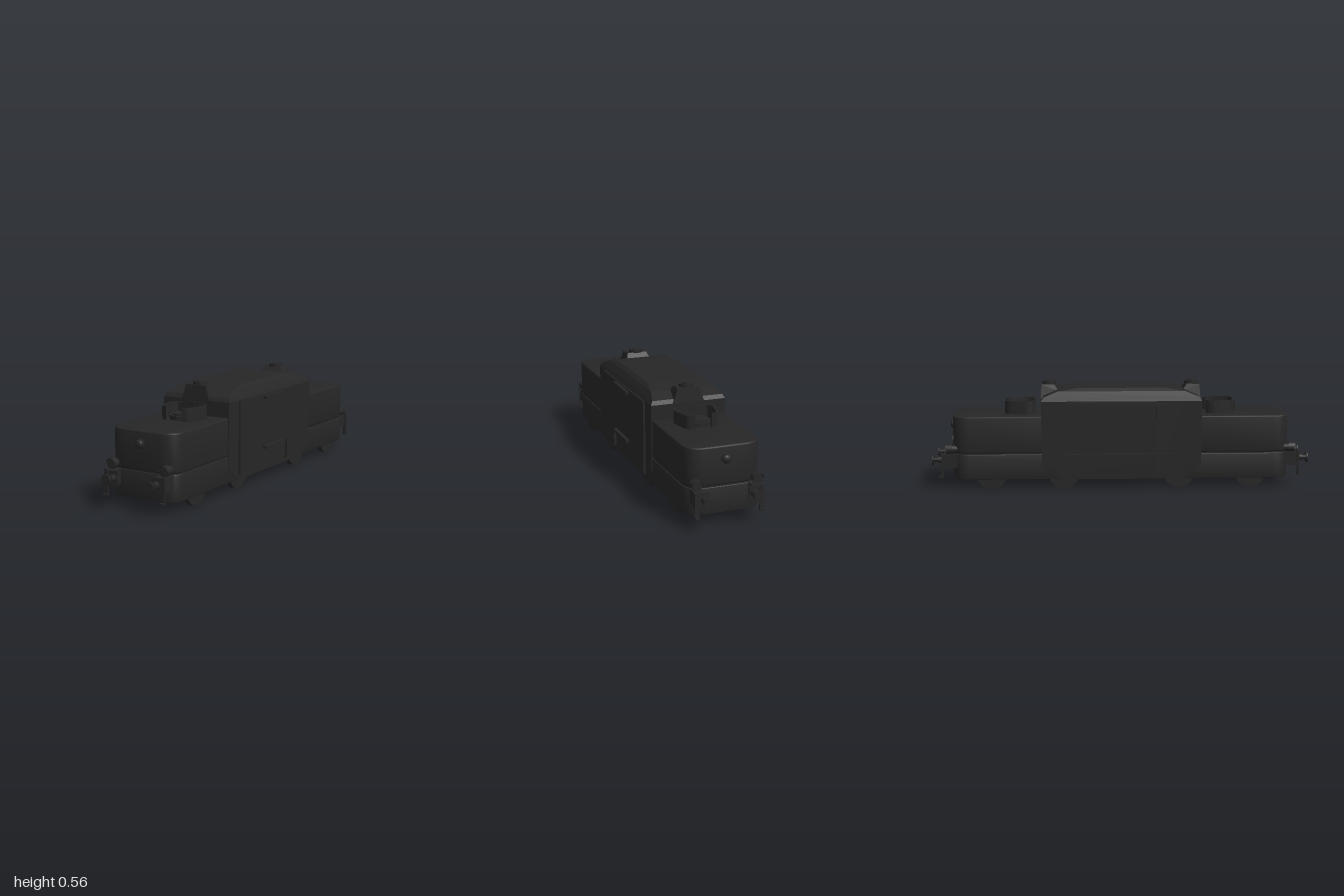
import * as THREE from 'three';
import { ConvexGeometry } from 'three/addons/geometries/ConvexGeometry.js';
import { toCreasedNormals } from 'three/addons/utils/BufferGeometryUtils.js';

const paint = new THREE.MeshStandardMaterial({ color: 0x262626 });
const thin = new THREE.MeshStandardMaterial({ color: 0x262626, side: THREE.DoubleSide });

function add(parent, name, geometry, x = 0, y = 0, z = 0, material = paint) {
  const mesh = new THREE.Mesh(geometry, material);
  mesh.name = name;
  mesh.position.set(x, y, z);
  parent.add(mesh);
  return mesh;
}
const box = (w, h, d) => new THREE.BoxGeometry(w, h, d);

// Cylinder along 'x', 'y' or 'z'
function rod(r, length, axis = 'y', r2 = r) {
  const g = new THREE.CylinderGeometry(r, r2, length, 32);
  if (axis === 'x') g.rotateZ(Math.PI / 2);
  if (axis === 'z') g.rotateX(Math.PI / 2);
  return g;
}

// Plan outline with rounded corners at z1 and, when rounded, at z0 too
function plan(w, z0, z1, r, both) {
  const s = new THREE.Shape();
  s.moveTo(w, both ? z0 + r : z0);
  s.lineTo(w, z1 - r);
  s.quadraticCurveTo(w, z1 - r * 0.1, w - r, z1);
  s.lineTo(r - w, z1);
  s.quadraticCurveTo(-w, z1 - r * 0.1, -w, z1 - r);
  s.lineTo(-w, both ? z0 + r : z0);
  if (both) {
    s.quadraticCurveTo(-w, z0 + r * 0.1, r - w, z0);
    s.lineTo(w - r, z0);
    s.quadraticCurveTo(w, z0 + r * 0.1, w, z0 + r);
  }
  s.closePath();
  return s;
}

// Extrude a plan between two heights with an optional edge bevel
function slab(shape, y0, y1, bevel = 0) {
  const g = new THREE.ExtrudeGeometry(shape, {
    depth: y1 - y0 - 2 * bevel, bevelEnabled: bevel > 0, bevelSize: bevel,
    bevelThickness: bevel, bevelOffset: -bevel, bevelSegments: 3, curveSegments: 14,
  });
  g.rotateX(Math.PI / 2).translate(0, y1 - bevel, 0);
  return toCreasedNormals(g, 0.6);
}

// Hull of points mirrored in x, and in z when asked
function hull(points, mirrorZ) {
  const all = [];
  for (const [x, y, z] of points)
    for (const sx of [1, -1])
      for (const sz of mirrorZ ? [1, -1] : [1]) all.push(new THREE.Vector3(x * sx, y, z * sz));
  return new ConvexGeometry(all);
}

// Curved upright plate following points in x and z
function shield(side) {
  const path = [[0.045, 0.458], [0.09, 0.46], [0.106, 0.5], [0.092, 0.575], [0.078, 0.605], [0.045, 0.618]];
  const curve = new THREE.CatmullRomCurve3(path.map(([x, z]) => new THREE.Vector3(x * side, 0, z)), false, 'catmullrom', 0.4);
  const pts = curve.getPoints(24).map(p => new THREE.Vector2(p.x, p.z));
  const c = new THREE.Vector2(0, 0.54);
  const inner = pts.map(p => p.clone().lerp(c, 0.09)).reverse();
  return slab(new THREE.Shape([...pts, ...inner]), 0.383, 0.455);
}

// Buffer, bracket and signal lamp on one corner
function buffer(side) {
  const g = new THREE.Group();
  g.name = 'bufferAssembly';
  add(g, 'bufferBracket', box(0.05, 0.07, 0.08), side * 0.147, 0.15, 0.895);
  add(g, 'bufferBackPlate', box(0.078, 0.074, 0.008), side * 0.141, 0.148, 0.935);
  add(g, 'bufferSleeve', rod(0.018, 0.04, 'z'), side * 0.127, 0.15, 0.95);
  add(g, 'bufferStem', rod(0.012, 0.05, 'z'), side * 0.127, 0.15, 0.97);
  add(g, 'bufferDisc', rod(0.028, 0.009, 'z'), side * 0.127, 0.15, 0.9955);
  add(g, 'hangerPlate', box(0.023, 0.13, 0.008), side * 0.167, 0.125, 0.943);
  add(g, 'hangerFoot', box(0.023, 0.008, 0.024), side * 0.167, 0.066, 0.949);
  add(g, 'lampPost', box(0.02, 0.03, 0.025), side * 0.155, 0.19, 0.9);
  add(g, 'signalLamp', rod(0.025, 0.06, 'z', 0.02), side * 0.155, 0.21, 0.89);
  add(g, 'lampHood', new THREE.CylinderGeometry(0.029, 0.029, 0.035, 24, 1, true, Math.PI / 2, Math.PI)
    .rotateX(Math.PI / 2), side * 0.155, 0.21, 0.908, thin);
  return g;
}

// Everything that appears at each end of the vehicle
function vehicleEnd() {
  const g = new THREE.Group();
  g.name = 'vehicleEnd';
  add(g, 'hood', slab(plan(0.193, 0.41, 0.89, 0.085, false), 0.192, 0.386, 0.008));
  add(g, 'headlampRim', rod(0.025, 0.02, 'z'), 0, 0.322, 0.892);
  add(g, 'headlampLens', new THREE.SphereGeometry(0.022, 24, 16).scale(1, 1, 0.6), 0, 0.322, 0.901);

  // Turret ring and curved shields
  add(g, 'turretRing', rod(0.065, 0.024), 0, 0.396, 0.54);
  add(g, 'turretCap', rod(0.05, 0.01), 0, 0.411, 0.54);
  for (const s of [1, -1]) {
    add(g, 'turretShield', shield(s));
    g.add(buffer(s));
  }

  // Observation cupola on the cabin roof
  add(g, 'cupola', hull([[0.083, 0.465, 0.426], [0.06, 0.54, 0.422], [0.055, 0.54, 0.355],
    [0.068, 0.505, 0.33], [0.07, 0.465, 0.33]]));
  add(g, 'cupolaFrontPlate', box(0.07, 0.055, 0.012), 0, 0.428, 0.422);
  add(g, 'cupolaHatch', rod(0.036, 0.016), 0, 0.546, 0.382);
  add(g, 'hatchKnob', rod(0.02, 0.006), 0, 0.5545, 0.382);
  return g;
}

// Side plate drawn in z and y, extruded outwards from the cabin wall
function sidePlate(side, points, x0, x1) {
  const shape = new THREE.Shape(points.map(([z, y]) => new THREE.Vector2(z, y)));
  const g = new THREE.ExtrudeGeometry(shape, { depth: x1 - x0, bevelEnabled: false });
  g.rotateY(-Math.PI / 2).translate(side > 0 ? x1 : -x0, 0, 0);
  return g;
}

export function createModel() {
  const model = new THREE.Group();
  model.name = 'armouredRailcar';

  // Underframe skirt and the narrow seam above it
  add(model, 'skirt', slab(plan(0.193, -0.89, 0.89, 0.085, true), 0.052, 0.186, 0.003));
  add(model, 'seam', slab(plan(0.187, -0.884, 0.884, 0.085, true), 0.18, 0.2));

  // Cabin with hipped roof
  add(model, 'cabin', hull([[0.196, 0.052, 0.33], [0.197, 0.12, 0.42], [0.2, 0.465, 0.422],
    [0.19, 0.485, 0.41], [0.17, 0.515, 0.335], [0.15, 0.531, 0.23]], true));

  // Ends
  const front = vehicleEnd();
  const back = vehicleEnd();
  back.rotation.y = Math.PI;
  model.add(front, back);

  // Left side: notched plate with short rails
  add(model, 'leftSidePlate', sidePlate(1, [[-0.33, 0.075], [-0.15, 0.075], [-0.15, 0.18], [0.15, 0.18],
    [0.15, 0.075], [0.33, 0.075], [0.33, 0.462], [-0.33, 0.462]], 0.19, 0.209));
  for (const y of [0.448, 0.181]) add(model, 'leftRail', box(0.022, 0.016, 0.21), 0.216, y, 0);

  // Right side: two fixed plates, sliding door and long rails
  for (const [z0, z1] of [[-0.33, -0.14], [0.18, 0.33]])
    add(model, 'rightSidePlate', sidePlate(-1, [[z0, 0.075], [z1, 0.075], [z1, 0.462], [z0, 0.462]], 0.19, 0.209));
  add(model, 'slidingDoor', box(0.015, 0.28, 0.32), -0.197, 0.315, 0.02);
  for (const y of [0.448, 0.181]) add(model, 'rightRail', box(0.024, 0.016, 0.57), -0.216, y, -0.005);

  // Wheels
  for (const z of [-0.685, -0.305, 0.305, 0.685]) {
    for (const s of [1, -1]) add(model, 'wheel', rod(0.081, 0.025, 'x'), s * 0.168, 0.081, z);
  }
  return model;
}
